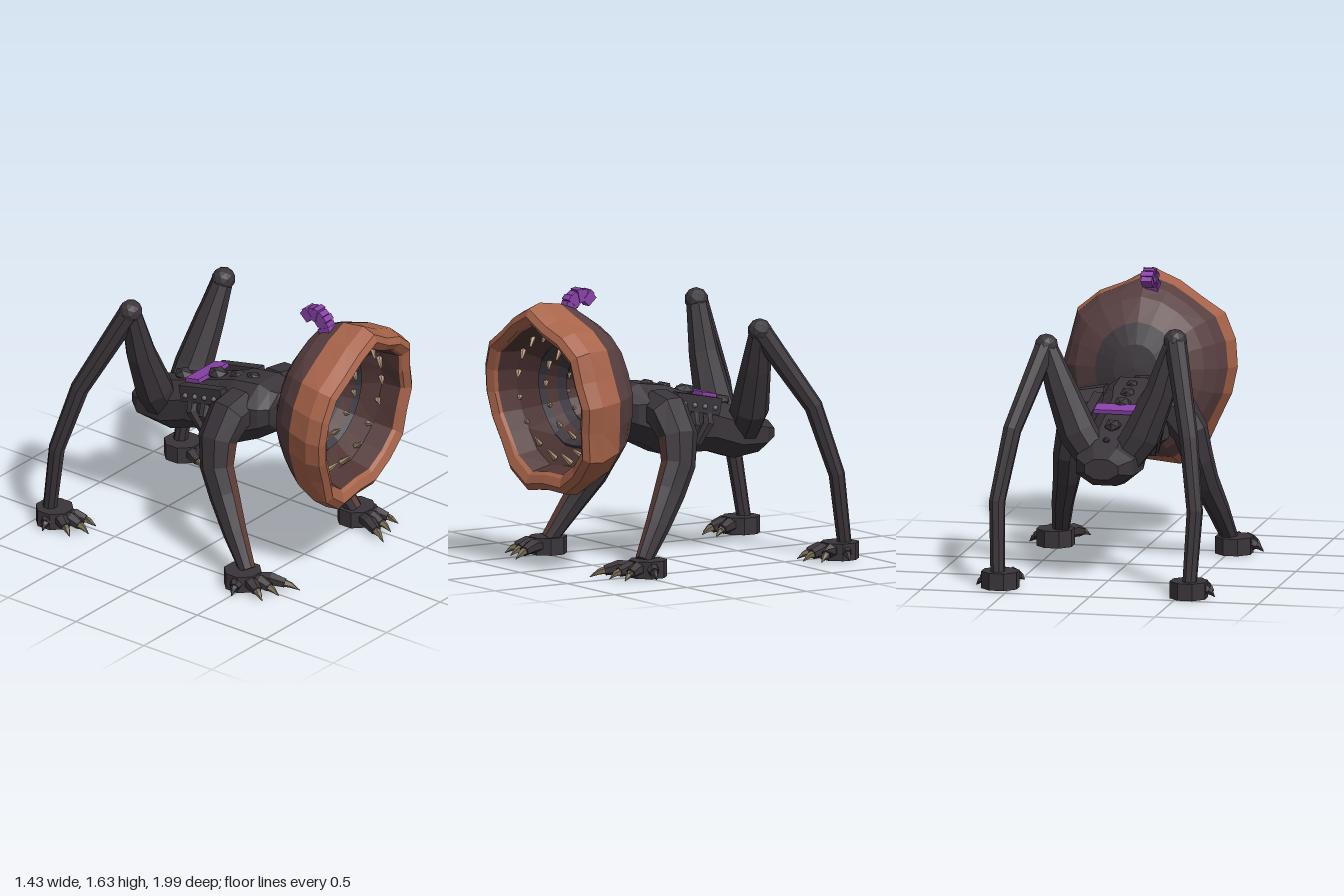
import * as THREE from 'three';

const V = (x, y, z) => new THREE.Vector3(x, y, z);
const mat = (name, color) => {
  const m = new THREE.MeshStandardMaterial({ color });
  m.name = name;
  return m;
};

// Faceted skin over rings of points; pick(row, column) chooses the material index
function loft(rings, pick = () => 0, caps = true) {
  const buckets = [];
  const tri = (k, ...p) => (buckets[k] ??= []).push(...p.flatMap(v => [v.x, v.y, v.z]));
  const n = rings[0].length;
  for (let i = 0; i < rings.length - 1; i++) for (let j = 0; j < n; j++) {
    const a = rings[i][j], b = rings[i][(j + 1) % n], c = rings[i + 1][(j + 1) % n], d = rings[i + 1][j];
    tri(pick(i, j), a, b, c);
    tri(pick(i, j), a, c, d);
  }
  if (caps) {
    const first = rings[0], last = rings[rings.length - 1];
    for (let j = 1; j < n - 1; j++) {
      tri(0, first[0], first[j + 1], first[j]);
      tri(0, last[0], last[j], last[j + 1]);
    }
  }
  const geo = new THREE.BufferGeometry();
  let start = 0;
  buckets.forEach((b, k) => {
    geo.addGroup(start, b.length / 3, k);
    start += b.length / 3;
  });
  geo.setAttribute('position', new THREE.Float32BufferAttribute(buckets.flat(), 3));
  geo.computeVertexNormals();
  return geo;
}

// Tapered limb along points [x, y, z, radius, optional front-to-back radius]
function limb(points, n = 8, pick) {
  const c = points.map(p => V(p[0], p[1], p[2]));
  const ref = V(0, 0, 1);
  return loft(points.map((p, i) => {
    const d = c[Math.min(i + 1, c.length - 1)].clone().sub(c[Math.max(i - 1, 0)]).normalize();
    const axis = Math.abs(d.z) > 0.85 ? V(0, 1, 0) : ref;
    const u = axis.clone().cross(d).normalize(), v = d.clone().cross(u);
    return Array.from({ length: n }, (_, j) => {
      const a = (j - 0.5) / n * Math.PI * 2;
      return c[i].clone().addScaledVector(u, p[3] * Math.cos(a)).addScaledVector(v, (p[4] ?? p[3]) * Math.sin(a));
    });
  }), pick);
}

export function createModel() {
  const model = new THREE.Group();
  model.name = 'creature';
  const hide = mat('charcoalHide', 0x3a353a), brown = mat('darkBrown', 0x583f40), rust = mat('rustRim', 0xa8644a);
  const maroon = mat('maroonMouth', 0x503635), slate = mat('slateBand', 0x3d3a42), purple = mat('purple', 0x8842a8);
  const ivory = mat('ivoryTooth', 0xb29a7c), horn = mat('hornClaw', 0x746852), steel = mat('steelRivet', 0x66666e);
  const sinew = mat('sinewBrown', 0x5e3d38);

  const add = (parent, name, geo, material, x = 0, y = 0, z = 0) => {
    const m = new THREE.Mesh(geo, material);
    m.name = name;
    m.position.set(x, y, z);
    parent.add(m);
    return m;
  };
  const facet = g => {
    const f = g.index ? g.toNonIndexed() : g;
    f.computeVertexNormals();
    return f;
  };

  // Torso: octagonal sections [z, centre y, half width, half height]
  const torso = [[-0.69, 0.69, 0.1, 0.06], [-0.6, 0.69, 0.17, 0.11], [-0.42, 0.715, 0.19, 0.155], [-0.25, 0.77, 0.175, 0.155],
    [-0.05, 0.805, 0.185, 0.185], [0.06, 0.825, 0.23, 0.205], [0.24, 0.88, 0.23, 0.175], [0.31, 0.89, 0.2, 0.14],
    [0.36, 0.9, 0.15, 0.12], [0.37, 0.91, 0.09, 0.12], [0.46, 0.93, 0.1, 0.11]];
  add(model, 'torso', loft(torso.map(([z, y, w, h]) => Array.from({ length: 8 }, (_, j) => {
    const a = (j + 0.5) / 8 * Math.PI * 2;
    return V(Math.cos(a) * w * 1.08, y + Math.sin(a) * h * 1.08, z);
  }))), hide);

  // Spine knobs
  for (const [y, z, r] of [[0.84, -0.56, 0.025], [0.89, -0.38, 0.058], [0.97, -0.13, 0.062], [1.0, 0.02, 0.055], [1.03, 0.13, 0.045]])
    add(model, 'spineKnob', facet(new THREE.IcosahedronGeometry(r)), hide, 0, y, z).scale.set(0.9, 0.7, 1.15);

  // Harness: purple strap, riveted side plates, ribs
  add(model, 'backStrap', new THREE.BoxGeometry(0.28, 0.025, 0.1), purple, 0, 0.955, -0.215).rotation.x = -0.2;
  for (const s of [-1, 1]) {
    add(model, 'sidePlate', new THREE.BoxGeometry(0.055, 0.1, 0.31), hide, s * 0.18, 0.92, -0.1).rotation.x = -0.2;
    for (let i = 0; i < 4; i++)
      add(model, 'rivet', new THREE.IcosahedronGeometry(0.016, 1), steel, s * 0.21, 0.93 - i * 0.014, -i * 0.07);
    for (const z of [-0.07, -0.16])
      add(model, 'rib', limb([[s * 0.17, 0.88, z - 0.02, 0.03], [s * 0.2, 0.8, z - 0.01, 0.035], [s * 0.17, 0.68, z + 0.05, 0.025]], 6), hide);
  }

  // Bell-shaped head, tilted a little down and to the side
  const head = new THREE.Group();
  head.name = 'head';
  head.position.set(0.05, 1.005, 0.93);
  head.quaternion.setFromUnitVectors(V(0, 0, 1), V(0.08, -0.12, 1).normalize());
  model.add(head);
  const lobes = [0.505, 0.485, 0.525, 0.51, 0.495, 0.55, 0.51, 0.49, 0.52, 0.51, 0.5, 0.495, 0.5, 0.56, 0.585, 0.54, 0.57, 0.56, 0.555, 0.5];
  // rows: [depth, radius, waviness, material]; past the lip the deep end leans and is a little narrower
  const lip = -0.04;
  const bell = (name, rows, mats, leanX, leanY) => add(head, name, loft(rows.map(([t, r, k]) => lobes.map((l, j) => {
    const a = j / lobes.length * Math.PI * 2, q = r * (1 + (l / 0.525 - 1) * k), deep = Math.max(lip - t, 0);
    return V(Math.cos(a) * q * (0.92 + 0.08 * Math.min(k, 1)) + deep * leanX, Math.sin(a) * q + deep * leanY, t);
  })), i => rows[i][3], false), mats);
  bell('headShell', [[-0.53, 0.001, 0, 0], [-0.52, 0.14, 0, 0], [-0.48, 0.265, 0.1, 1], [-0.405, 0.405, 0.3, 1], [-0.33, 0.47, 0.5, 1],
    [-0.24, 0.508, 0.8, 2], [-0.1, 0.536, 1.1, 2], [-0.02, 0.515, 1.2, 2], [0.005, 0.475, 1.2, 2], [-0.02, 0.43, 1.2, 2],
    [lip, 0.418, 1.1, 2]], [hide, brown, rust], 0.075, 0.01);
  bell('mouthLining', [[lip, 0.418, 1.1, 0], [-0.16, 0.4, 0.9, 0], [-0.25, 0.315, 0.4, 1], [-0.235, 0.3, 0.3, 1], [-0.27, 0.275, 0.2, 0],
    [-0.32, 0.238, 0.1, 1], [-0.36, 0.2, 0, 0], [-0.35, 0.185, 0, 0], [-0.4, 0.16, 0, 1], [-0.43, 0.125, 0, 0], [-0.46, 0.085, 0, 1],
    [-0.49, 0.001, 0, 1]], [maroon, slate], 0.05, -0.075);
  const lean = t => [(lip - t) * 0.05, (t - lip) * 0.075];
  add(head, 'throatRing', new THREE.TorusGeometry(0.093, 0.006, 6, 20), rust, ...lean(-0.44), -0.445);
  add(head, 'throatRing', new THREE.TorusGeometry(0.066, 0.007, 6, 16), rust, ...lean(-0.46), -0.457);
  add(head, 'throatCore', new THREE.TorusGeometry(0.034, 0.007, 6, 14), ivory, ...lean(-0.47), -0.467);

  // Rings of teeth: [radius, depth, count, length]
  const toothRings = [[0.385, -0.165, 16, 0.085], [0.268, -0.275, 12, 0.08], [0.185, -0.37, 10, 0.065], [0.118, -0.43, 8, 0.04]];
  toothRings.forEach(([r, t, count, len], k) => {
    const [cx, cy] = lean(t);
    for (let i = 0; i < count; i++) {
      const a = (i + 0.3 + k * 0.4) / count * Math.PI * 2;
      const dir = V(-Math.cos(a) * 0.75, -Math.sin(a) * 0.75, 0.66).normalize();
      const tooth = add(head, 'tooth', facet(new THREE.CylinderGeometry(len * 0.08, len * 0.23, len, 5)), ivory,
        cx + Math.cos(a) * r * 0.97, cy + Math.sin(a) * r, t);
      tooth.quaternion.setFromUnitVectors(V(0, 1, 0), dir);
      tooth.position.addScaledVector(dir, len * 0.35);
    }
  });

  // Curled purple crest on top of the head
  const crest = new THREE.CatmullRomCurve3([V(0, 1.51, 0.672), V(0, 1.55, 0.655), V(0, 1.583, 0.622), V(0, 1.593, 0.588), V(0, 1.585, 0.553), V(0, 1.56, 0.53)]);
  for (let i = 0; i < 8; i++) {
    const p = crest.getPointAt(i / 7), d = crest.getTangentAt(i / 7), small = i % 2 * 0.01;
    const block = add(model, 'crestSegment', new THREE.BoxGeometry(0.074 - small, 0.08 - small, 0.034), purple, p.x, p.y, p.z);
    block.rotation.x = -Math.atan2(d.y, d.z);
  }

  // Foot: octagonal pad, toes fanned by [angle outward, length]; the side spur stays dark
  const foot = (name, x, z, s, toes) => {
    const g = new THREE.Group();
    g.name = name;
    g.position.set(x, 0, z);
    model.add(g);
    add(g, 'pad', facet(new THREE.CylinderGeometry(0.113, 0.113, 0.1, 8)), hide, 0, 0.05, 0).rotation.y = Math.PI / 8;
    for (const [angle, len] of toes) {
      const dx = Math.sin(angle) * s, dz = Math.cos(angle);
      const at = (f, y, r) => [dx * len * f, y, dz * len * f, r];
      add(g, 'toe', limb([at(0.2, 0.055, 0.035), at(0.5, 0.06, 0.042), at(0.74, 0.042, 0.03)], 6), hide);
      add(g, 'claw', limb([at(0.7, 0.044, 0.025), at(0.84, 0.034, 0.018), at(1, 0.006, 0.002)], 5), angle > 1 ? hide : horn);
    }
  };

  for (const s of [-1, 1]) {
    // Front leg, bowed back at the elbow, with a sinew strip down its front face
    add(model, 'frontLeg', limb([[s * 0.15, 0.9, 0.15, 0.13], [s * 0.26, 0.89, 0.15, 0.13], [s * 0.345, 0.77, 0.135, 0.105, 0.12],
      [s * 0.385, 0.61, 0.16, 0.088, 0.105], [s * 0.41, 0.46, 0.235, 0.08, 0.095], [s * 0.46, 0.28, 0.35, 0.065, 0.075],
      [s * 0.5, 0.09, 0.475, 0.05]], 8, (i, j) => (i > 1 && j === 2 ? 1 : 0)), [hide, sinew]);
    foot('frontFoot', s * 0.53, 0.465, s, [[-0.42, 0.34], [-0.02, 0.26], [0.44, 0.25], [1.3, 0.17]]);

    // Hind leg, posed differently on each side
    const left = s > 0;
    const knee = left ? [0.39, 1.35, -0.4] : [-0.39, 1.425, -0.47];
    add(model, 'thigh', limb([[s * 0.08, 0.7, -0.47, 0.1], [s * 0.19, 0.86, -0.46, 0.115],
      [s * 0.3, 1.12, (knee[2] - 0.46) / 2, 0.09], [...knee, 0.06]]), hide);
    add(model, 'knee', facet(new THREE.IcosahedronGeometry(0.07, 1)), hide, ...knee);
    const back = left ? 0 : -0.055;
    add(model, 'shin', limb([[...knee, 0.066], [s * 0.53, 0.9, -0.68 + back, 0.055], [s * 0.592, 0.5, -0.8 + back, 0.048],
      [s * 0.575, 0.08, -0.865 + back, 0.042]]), hide);
    foot('hindFoot', s * 0.565, -0.837 + back, s, [[-0.38, 0.25], [0.05, 0.26], [0.5, 0.22], [1.4, 0.15]]);
  }
  return model;
}
